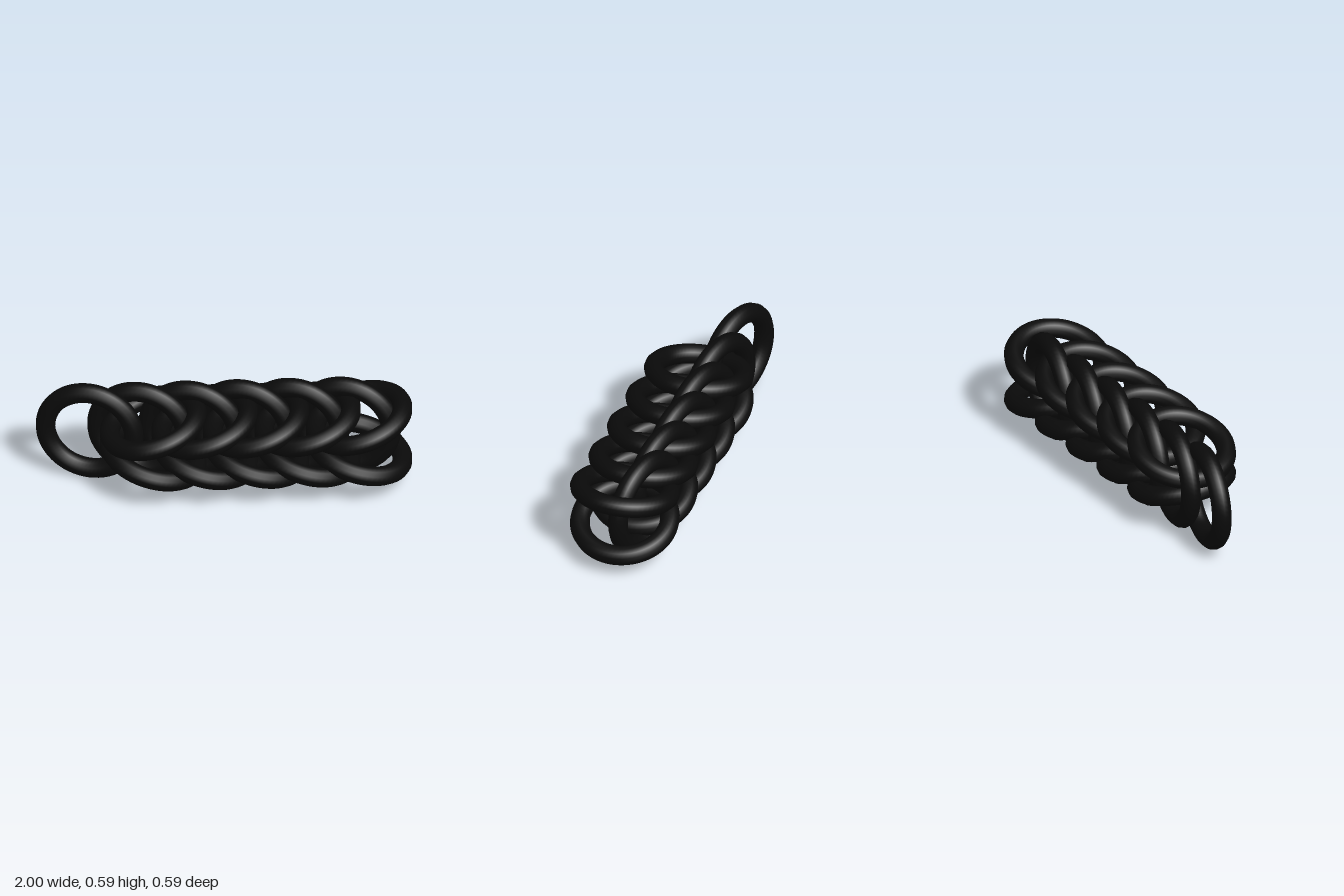
import * as THREE from 'three';

const RING = 0.241, WIRE = 0.053, TILT = 0.27, PITCH = 0.2744;

export function createModel() {
  const model = new THREE.Group();
  model.name = 'chainWeave';
  const material = new THREE.MeshStandardMaterial({ color: 0x0a0a0a });
  const ring = () => new THREE.TorusGeometry(RING, WIRE, 12, 64);

  // Evenly spaced row of identical rings, starting at x and running along +x
  function addRow(name, geometry, count, x, y, z) {
    const row = new THREE.Group();
    row.name = name;
    for (let i = 0; i < count; i++) {
      const mesh = new THREE.Mesh(geometry, material);
      mesh.name = `${name}Ring${i + 1}`;
      mesh.position.set(x + i * PITCH, y, z);
      row.add(mesh);
    }
    model.add(row);
  }

  // Upright rings, turned slightly about the vertical
  addRow('upright', ring().rotateY(-TILT), 6, -0.716, 0.294, -0.091);

  // Two layers of lying rings that spread apart towards +x
  for (const [name, side] of [['upper', 1], ['lower', -1]]) {
    const geometry = ring().rotateX(Math.PI / 2).rotateZ(side * TILT);
    addRow(name, geometry, 5, 0.716 - 4 * PITCH, 0.294 + side * 0.101, 0);
  }
  return model;
}
